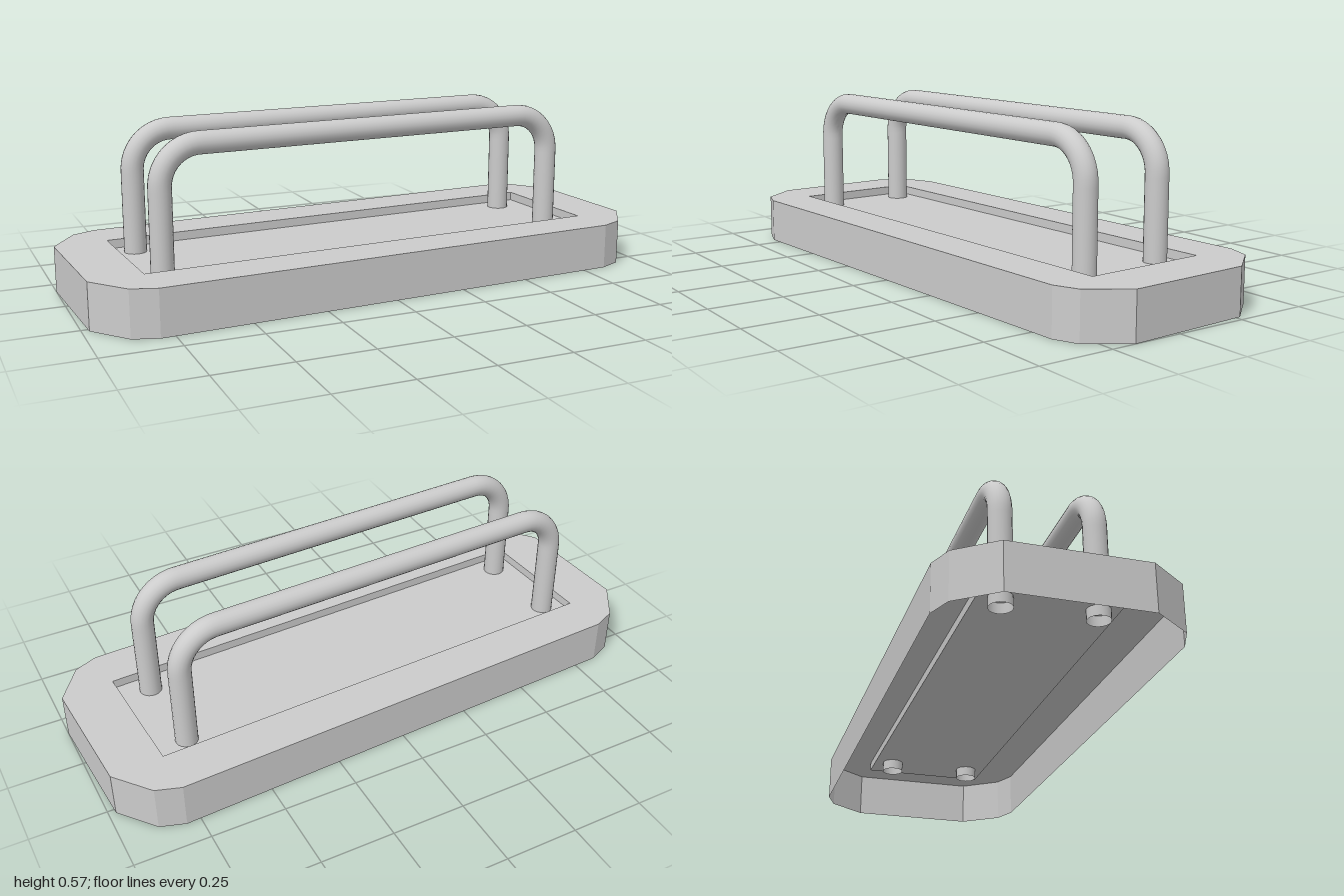
import * as THREE from 'three';

const TOP = 0.155;    // upper face of the base
const FLOOR = 0.125;  // floor of the recess
const material = new THREE.MeshStandardMaterial({ color: 0xcccccc, side: THREE.DoubleSide });

// Completes an outline of [x, z] points with its half-turn copy
const halfTurn = (half) => [...half, ...half.map(([x, z]) => [-x, -z])];

const baseOutline = halfTurn([
  [1, 0.167], [0.914, 0.295], [0.835, 0.33], [-0.797, 0.415], [-0.88, 0.387], [-0.977, 0.267],
].map((p) => p));
const recessOutline = halfTurn([[0.823, 0.175], [-0.802, 0.256]]);

const toVectors = (outline) => outline.map(([x, z]) => new THREE.Vector2(x, -z));

// Flat horizontal sheet at height y, optionally with a hole
function sheet(outline, y, hole) {
  const shape = new THREE.Shape(toVectors(outline));
  if (hole) shape.holes.push(new THREE.Path(toVectors(hole)));
  return new THREE.ShapeGeometry(shape).rotateX(-Math.PI / 2).translate(0, y, 0);
}

// Upright wall along a closed outline, one flat quad per edge
function wall(outline, y0, y1) {
  const positions = [];
  outline.forEach(([ax, az], i) => {
    const [bx, bz] = outline[(i + 1) % outline.length];
    positions.push(ax, y0, az, ax, y1, az, bx, y1, bz);
    positions.push(ax, y0, az, bx, y1, bz, bx, y0, bz);
  });
  const geometry = new THREE.BufferGeometry();
  geometry.setAttribute('position', new THREE.Float32BufferAttribute(positions, 3));
  geometry.computeVertexNormals();
  return geometry;
}

// Open-ended tube: leg, bend, crossbar, bend, leg
function railGeometry(left, right) {
  const bottom = 0.09, height = 0.532, bend = 0.13, k = 0.552;
  const a = new THREE.Vector3(left[0], 0, left[1]);
  const b = new THREE.Vector3(right[0], 0, right[1]);
  const length = a.distanceTo(b);
  const at = (s, y) => a.clone().lerp(b, s / length).setY(y);
  const low = height - bend, c = bend * (1 - k);
  const path = new THREE.CurvePath();
  path.add(new THREE.LineCurve3(at(0, bottom), at(0, low)));
  path.add(new THREE.CubicBezierCurve3(at(0, low), at(0, height - c), at(c, height), at(bend, height)));
  path.add(new THREE.LineCurve3(at(bend, height), at(length - bend, height)));
  path.add(new THREE.CubicBezierCurve3(
    at(length - bend, height), at(length - c, height), at(length, height - c), at(length, low)));
  path.add(new THREE.LineCurve3(at(length, low), at(length, bottom)));
  return new THREE.TubeGeometry(path, 110, 0.0375, 20, false);
}

export function createModel() {
  const model = new THREE.Group();
  model.name = 'railStand';
  const add = (parent, name, geometry) => {
    const mesh = new THREE.Mesh(geometry, material);
    mesh.name = name;
    parent.add(mesh);
  };

  // Hollow base, open underneath, with a shallow recess in its top
  const base = new THREE.Group();
  base.name = 'base';
  add(base, 'outerWall', wall(baseOutline, 0, TOP));
  add(base, 'topRim', sheet(baseOutline, TOP, recessOutline));
  add(base, 'recessWall', wall([...recessOutline].reverse(), FLOOR, TOP));
  add(base, 'recessFloor', sheet(recessOutline, FLOOR));
  model.add(base);

  // Two bent rails whose ends pass through the recess floor
  add(model, 'backRail', railGeometry([-0.742, -0.11], [0.697, -0.183]));
  add(model, 'frontRail', railGeometry([-0.727, 0.187], [0.712, 0.113]));
  return model;
}
